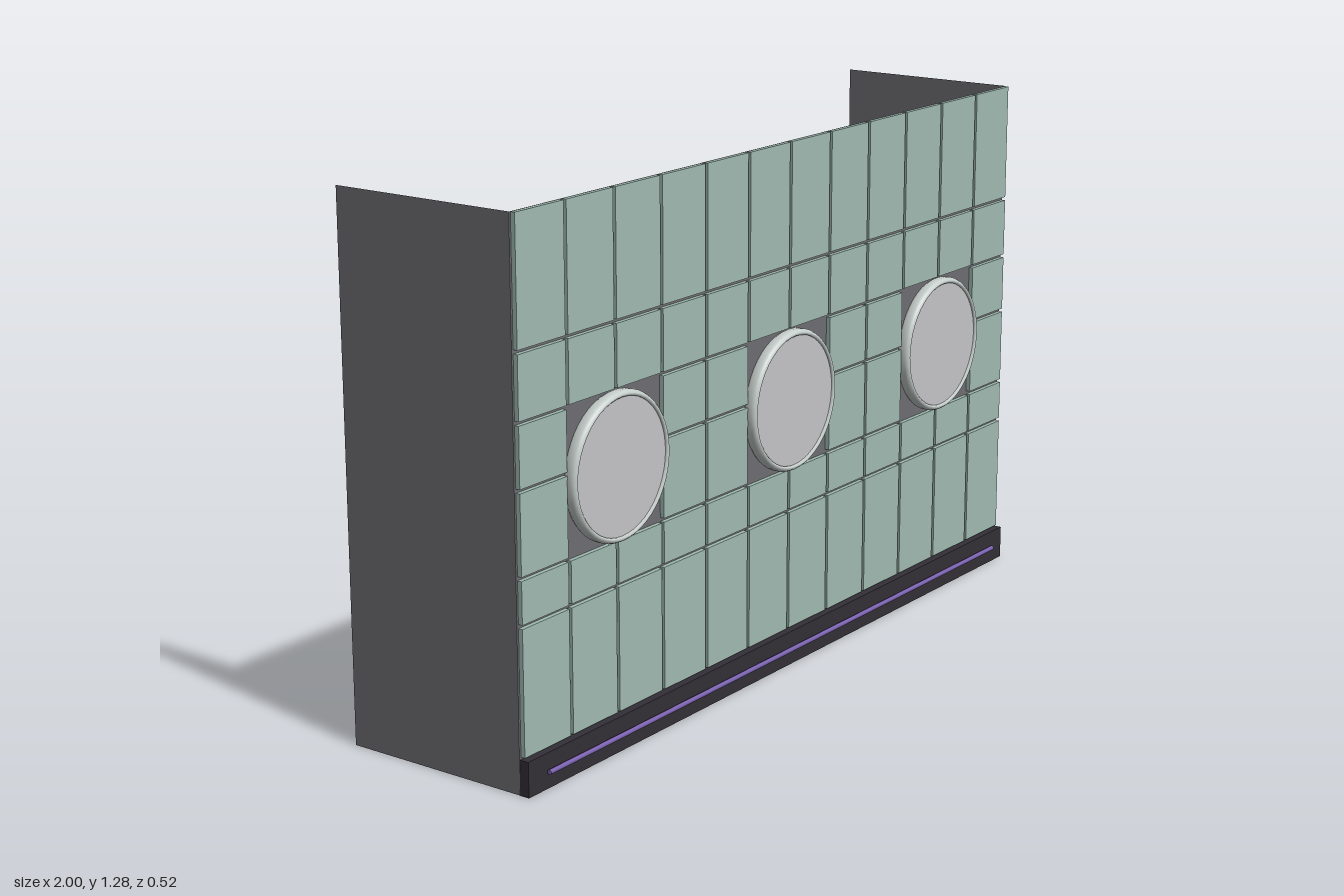
import * as THREE from 'three';

const mat = (name, color, side = THREE.FrontSide) => {
  const m = new THREE.MeshStandardMaterial({ color, side });
  m.name = name;
  return m;
};

export function createModel() {
  const root = new THREE.Group();
  const wallGrey = mat('wall grey', 0x6e6e72, THREE.DoubleSide);
  const tileGreen = mat('tile green', 0x9fbab0);
  const charcoal = mat('charcoal', 0x322f36, THREE.DoubleSide);
  const violet = mat('violet', 0x7a62b0);
  const rimWhite = mat('rim white', 0xc6cecb, THREE.DoubleSide);
  const glassGrey = mat('glass grey', 0xc4c4c8);
  const tan = mat('tan', 0xbf9f7f, THREE.DoubleSide);
  tan.flatShading = true;

  const add = (name, geometry, material, x = 0, y = 0, z = 0, parent = root) => {
    const mesh = new THREE.Mesh(geometry, material);
    mesh.name = name;
    mesh.position.set(x, y, z);
    parent.add(mesh);
    return mesh;
  };

  const H = 1.28, WALL_Z = 0.22, PORT_Y = 0.662, PORT_X = [-0.667, 0, 0.667];

  // Thin back wall and two side returns
  add('backWall', new THREE.PlaneGeometry(2, H), wallGrey, 0, H / 2, WALL_Z);
  for (const s of [-1, 1]) {
    const side = add('sideWall', new THREE.PlaneGeometry(0.48, H), wallGrey, s * 0.999, H / 2, -0.02);
    side.rotation.y = s * Math.PI / 2;
  }

  // Tiles, leaving a square opening around each porthole
  const tiles = new THREE.Group();
  tiles.name = 'tiles';
  root.add(tiles);
  const rows = [0.083, 0.385, 0.492, 0.685, 0.832, 0.985, 1.284];
  const gap = 0.009, pitch = 1 / 6, depth = 0.011;
  for (let r = 0; r < rows.length - 1; r++) {
    for (let c = 0; c < 12; c++) {
      const x = -1 + (c + 0.5) * pitch;
      const open = (r === 2 || r === 3) && PORT_X.some((p) => Math.abs(p - x) < 0.12);
      if (open) continue;
      const h = rows[r + 1] - rows[r] - gap;
      add('tile', new THREE.BoxGeometry(pitch - gap, h, depth), tileGreen,
        x, (rows[r] + rows[r + 1]) / 2, WALL_Z + depth / 2 + 0.0005, tiles);
    }
  }

  // Baseboard with a glowing strip
  add('baseboard', new THREE.BoxGeometry(2, 0.083, 0.024), charcoal, 0, 0.0415, WALL_Z + 0.0125);
  const strip = add('lightStrip', new THREE.CylinderGeometry(0.006, 0.006, 1.88, 8), violet, 0, 0.042, 0.253);
  strip.rotation.z = Math.PI / 2;

  // Portholes: rounded rim, glass disc and a box behind
  const rimProfile = [
    [0.158, 0.022], [0.158, 0.029], [0.161, 0.032], [0.165, 0.032],
    [0.169, 0.028], [0.172, 0.022], [0.172, 0.008], [0.168, 0.001],
  ].map(([r, z]) => new THREE.Vector2(r, z)).reverse();
  PORT_X.forEach((x, i) => {
    const port = new THREE.Group();
    port.name = 'porthole';
    port.position.set(x, PORT_Y, WALL_Z);
    root.add(port);
    const rim = add('rim', new THREE.LatheGeometry(rimProfile, 48), rimWhite, 0, 0, 0, port);
    rim.rotation.x = Math.PI / 2;
    add('glass', new THREE.CircleGeometry(0.159, 48), glassGrey, 0, 0, 0.026, port);

    const middle = i === 1;
    if (middle) {
      const back = add('glassBack', new THREE.CircleGeometry(0.135, 32), glassGrey, 0, 0, -0.001, port);
      back.rotation.y = Math.PI;
    } else {
      // Ten-sided open tunnel
      const tunnel = add('tunnel', new THREE.CylinderGeometry(0.142, 0.142, 0.149, 10, 1, true), tan, 0, 0, -0.0755, port);
      tunnel.rotation.set(Math.PI / 2, Math.PI / 2, 0);
    }
    add('backPanel', new THREE.PlaneGeometry(0.285, 0.285), middle ? charcoal : tan, 0, 0, -0.15, port);
  });

  return root;
}
